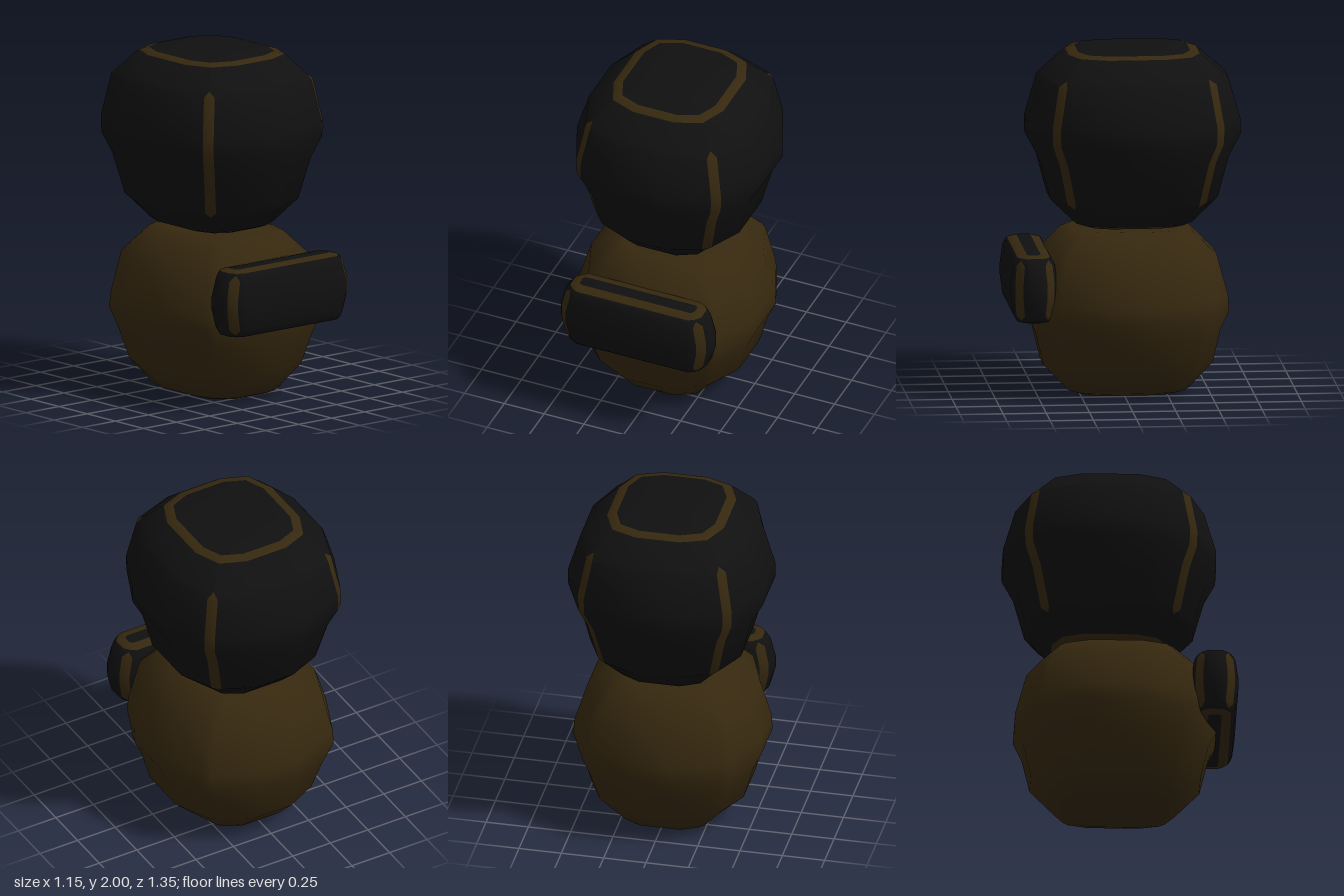
import * as THREE from 'three';
import { toCreasedNormals } from 'three/addons/utils/BufferGeometryUtils.js';

const black = new THREE.MeshStandardMaterial({ color: 0x101010 });
black.name = 'black';
const brown = new THREE.MeshStandardMaterial({ color: 0x36280f });
brown.name = 'dark brown';

// One level: [y, halfX, halfZ, frontEdgeX, sideEdgeZ, cornerX, cornerZ, bevel].
// A quarter outline is mirrored into a closed 16-point ring.
function ring([y, hx, hz, ax, az, cx, cz, b]) {
  const quarter = [[ax, hz], [cx - b, cz + b], [cx + b, cz - b], [hx, az]];
  const back = [...quarter].reverse();
  const place = (pts, sx, sz) => pts.map(([x, z]) => [x * sx, y, z * sz]);
  return [
    ...place(quarter, 1, 1), ...place(back, 1, -1),
    ...place(quarter, -1, -1), ...place(back, -1, 1),
  ];
}

// Skins levels from top to bottom; isTrim(level, segment) picks the trim faces
function loft(name, levels, isTrim, materials) {
  const rings = levels.map(ring);
  const n = rings[0].length;
  const main = [], trim = [];
  for (let i = 0; i < rings.length - 1; i++) {
    for (let j = 0; j < n; j++) {
      const k = (j + 1) % n;
      const a = rings[i][j], b = rings[i + 1][j], c = rings[i + 1][k], d = rings[i][k];
      (isTrim(i, j) ? trim : main).push(...a, ...b, ...c, ...a, ...c, ...d);
    }
  }
  const top = rings[0], bottom = rings[rings.length - 1];
  for (let j = 0; j < n; j++) {
    const k = (j + 1) % n;
    main.push(0, top[0][1], 0, ...top[j], ...top[k]);
    main.push(0, bottom[0][1], 0, ...bottom[k], ...bottom[j]);
  }
  const geometry = new THREE.BufferGeometry();
  geometry.setAttribute('position', new THREE.Float32BufferAttribute([...main, ...trim], 3));
  geometry.addGroup(0, main.length / 3, 0);
  geometry.addGroup(main.length / 3, trim.length / 3, 1);
  const mesh = new THREE.Mesh(toCreasedNormals(geometry, 0.7), materials);
  mesh.name = name;
  return mesh;
}

// Trim on the top and bottom rims and down the four bevelled corners
const edgeTrim = (count) => (i, j) =>
  i === 0 || i === count - 2 || (j % 4 === 1 && i > 1 && i < count - 3);

const headLevels = [
  [2.0, 0.29, 0.325, 0.12, 0.155, 0.24, 0.275, 0.001],
  [1.985, 0.345, 0.38, 0.13, 0.165, 0.28, 0.32, 0.001],
  [1.87, 0.47, 0.512, 0.12, 0.165, 0.37, 0.412, 0.001],
  [1.84, 0.5, 0.545, 0.12, 0.165, 0.39, 0.435, 0.022],
  [1.6, 0.575, 0.615, 0.12, 0.165, 0.432, 0.475, 0.022],
  [1.5, 0.575, 0.615, 0.12, 0.165, 0.43, 0.473, 0.022],
  [1.38, 0.51, 0.55, 0.12, 0.165, 0.385, 0.43, 0.022],
  [1.14, 0.445, 0.485, 0.12, 0.165, 0.333, 0.38, 0.022],
  [1.11, 0.412, 0.455, 0.12, 0.165, 0.315, 0.36, 0.001],
  [0.995, 0.28, 0.335, 0.12, 0.155, 0.23, 0.275, 0.001],
  [0.975, 0.22, 0.28, 0.1, 0.14, 0.18, 0.23, 0.001],
];

const bodyLevels = [
  [0.96, 0.25, 0.32, 0.11, 0.14, 0.205, 0.265, 0.015],
  [0.945, 0.31, 0.37, 0.12, 0.15, 0.25, 0.305, 0.015],
  [0.8, 0.475, 0.515, 0.12, 0.15, 0.37, 0.405, 0.02],
  [0.56, 0.55, 0.58, 0.12, 0.15, 0.415, 0.445, 0.02],
  [0.47, 0.555, 0.585, 0.12, 0.15, 0.42, 0.45, 0.02],
  [0.36, 0.505, 0.535, 0.12, 0.15, 0.385, 0.415, 0.02],
  [0.17, 0.45, 0.49, 0.12, 0.15, 0.335, 0.37, 0.02],
  [0.02, 0.28, 0.345, 0.12, 0.15, 0.23, 0.28, 0.015],
  [0, 0.22, 0.29, 0.1, 0.14, 0.18, 0.23, 0.015],
];

// Upper half of the front block, mirrored below its middle
const blockMiddle = 0.655;
const upperBlock = [
  [0.855, 0.36, 0.04, 0.34, 0.02, 0.352, 0.032, 0.001],
  [0.842, 0.41, 0.095, 0.35, 0.04, 0.385, 0.073, 0.001],
  [0.83, 0.42, 0.105, 0.35, 0.04, 0.395, 0.078, 0.001],
  [0.8, 0.445, 0.12, 0.35, 0.035, 0.408, 0.082, 0.022],
  [0.69, 0.475, 0.135, 0.35, 0.03, 0.432, 0.092, 0.022],
];
const lowerBlock = [...upperBlock].reverse().map(([y, ...rest]) => [2 * blockMiddle - y, ...rest]);
const blockLevels = [...upperBlock, ...lowerBlock];

export function createModel() {
  const model = new THREE.Group();
  model.name = 'stackedFigure';

  const head = loft('head', headLevels, edgeTrim(headLevels.length), [black, brown]);
  head.position.z = -0.065;

  const body = loft('body', bodyLevels, () => false, [brown, brown]);
  body.position.z = -0.03;

  const frontBlock = loft('frontBlock', blockLevels, edgeTrim(blockLevels.length), [black, brown]);
  frontBlock.position.z = 0.535;

  model.add(head, body, frontBlock);
  return model;
}
